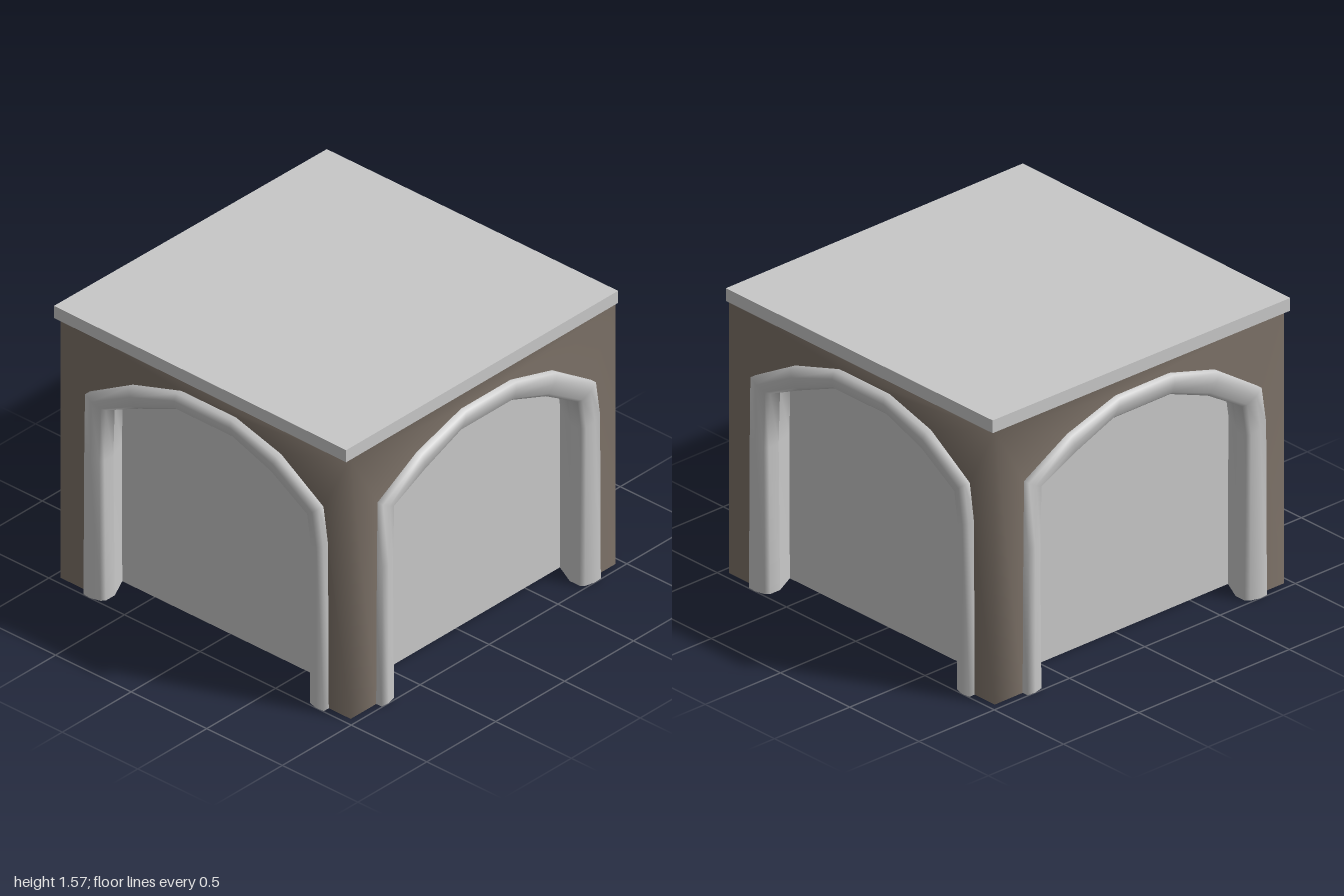
import * as THREE from 'three';
import { mergeGeometries, mergeVertices } from 'three/addons/utils/BufferGeometryUtils.js';

const WALL = 0.96;    // outer wall face
const NICHE = 0.78;   // recessed panel face
const TOP = 1.5;      // underside of roof slab
const UNDERCUT = 0.5; // how far the reveal tucks back behind the moulding

// Arch stations from left foot to right foot: outer x, y, inner x, y
const ARCH = [
  [-0.775, 0, -0.655, 0], [-0.77, 0.8, -0.665, 0.8], [-0.765, 1.16, -0.655, 1.1],
  [-0.48, 1.32, -0.44, 1.2], [-0.16, 1.42, -0.19, 1.305], [0.2, 1.42, 0.2, 1.305],
  [0.5, 1.335, 0.45, 1.21], [0.78, 1.15, 0.68, 1.07], [0.81, 0.95, 0.705, 0.9],
  [0.815, 0, 0.695, 0],
];

// Arch outline at t: 0 is the outer edge, 1 the inner edge
const outline = (t) => ARCH.map(([ox, oy, ix, iy]) =>
  new THREE.Vector2(ox + (ix - ox) * t, oy + (iy - oy) * t));

// Skin a cross-section of [t, z] points along the arch
function archLoft(section) {
  const pos = [], idx = [], n = ARCH.length;
  section.forEach(([t, z], p) => {
    outline(t).forEach((v, s) => {
      pos.push(v.x, v.y, z);
      if (p < section.length - 1 && s < n - 1) {
        const a = p * n + s, b = a + n;
        idx.push(a, b, a + 1, b, b + 1, a + 1);
      }
    });
  });
  const g = new THREE.BufferGeometry();
  g.setAttribute('position', new THREE.Float32BufferAttribute(pos, 3));
  g.setIndex(idx);
  g.computeVertexNormals();
  return g;
}

// Wall face with the arch cut out of its foot
function wallFace() {
  const corner = (x, y) => new THREE.Vector2(x, y);
  const shape = new THREE.Shape([corner(-WALL, 0), ...outline(0), corner(WALL, 0),
    corner(WALL, TOP), corner(-WALL, TOP)]);
  const g = new THREE.ShapeGeometry(shape).translate(0, 0, WALL);
  g.deleteAttribute('uv');
  g.deleteAttribute('normal');
  return g;
}

// Slightly uneven four-cornered slab
function slab() {
  const corners = [[-0.985, -0.98], [0.962, -0.995], [0.96, 0.98], [-0.967, 0.98]];
  const shape = new THREE.Shape(corners.map(([x, y]) => new THREE.Vector2(x, y)));
  return new THREE.ExtrudeGeometry(shape, { depth: 0.07, bevelEnabled: false })
    .rotateX(-Math.PI / 2).translate(0, TOP, 0);
}

export function createModel() {
  const stone = new THREE.MeshStandardMaterial({ color: 0xc8c8c8, side: THREE.DoubleSide });
  stone.name = 'pale grey stone';
  const plaster = new THREE.MeshStandardMaterial({ color: 0x7d7268, side: THREE.DoubleSide });
  plaster.name = 'brown plaster';

  const model = new THREE.Group();
  model.name = 'archedBlock';
  const add = (parent, name, geometry, material) => {
    const mesh = new THREE.Mesh(geometry, material);
    mesh.name = name;
    parent.add(mesh);
  };

  add(model, 'roofSlab', slab(), stone);

  // Four wall faces, welded so the corners shade softly
  const faces = [0, 1, 2, 3].map((i) => wallFace().rotateY((i * Math.PI) / 2));
  const walls = mergeVertices(mergeGeometries(faces), 1e-4);
  walls.computeVertexNormals();
  add(model, 'walls', walls, plaster);

  // Moulding, undercut reveal and arched panel, repeated on each side;
  // neighbouring panels leave a narrow gap at the inner corner
  const moulding = archLoft([[0, 0.94], [0, 0.996], [0.4, 1], [0.85, 0.985], [1, 0.965], [1, 0.9]]);
  const reveal = archLoft([[1, 0.9], [UNDERCUT, NICHE]]);
  const panel = new THREE.ShapeGeometry(new THREE.Shape(outline(UNDERCUT))).translate(0, 0, NICHE);

  for (let i = 0; i < 4; i++) {
    const side = new THREE.Group();
    side.name = ['front', 'left', 'back', 'right'][i] + 'Side';
    side.rotation.y = (i * Math.PI) / 2;
    add(side, 'archMoulding', moulding, stone);
    add(side, 'archReveal', reveal, stone);
    add(side, 'nichePanel', panel, stone);
    model.add(side);
  }
  return model;
}
